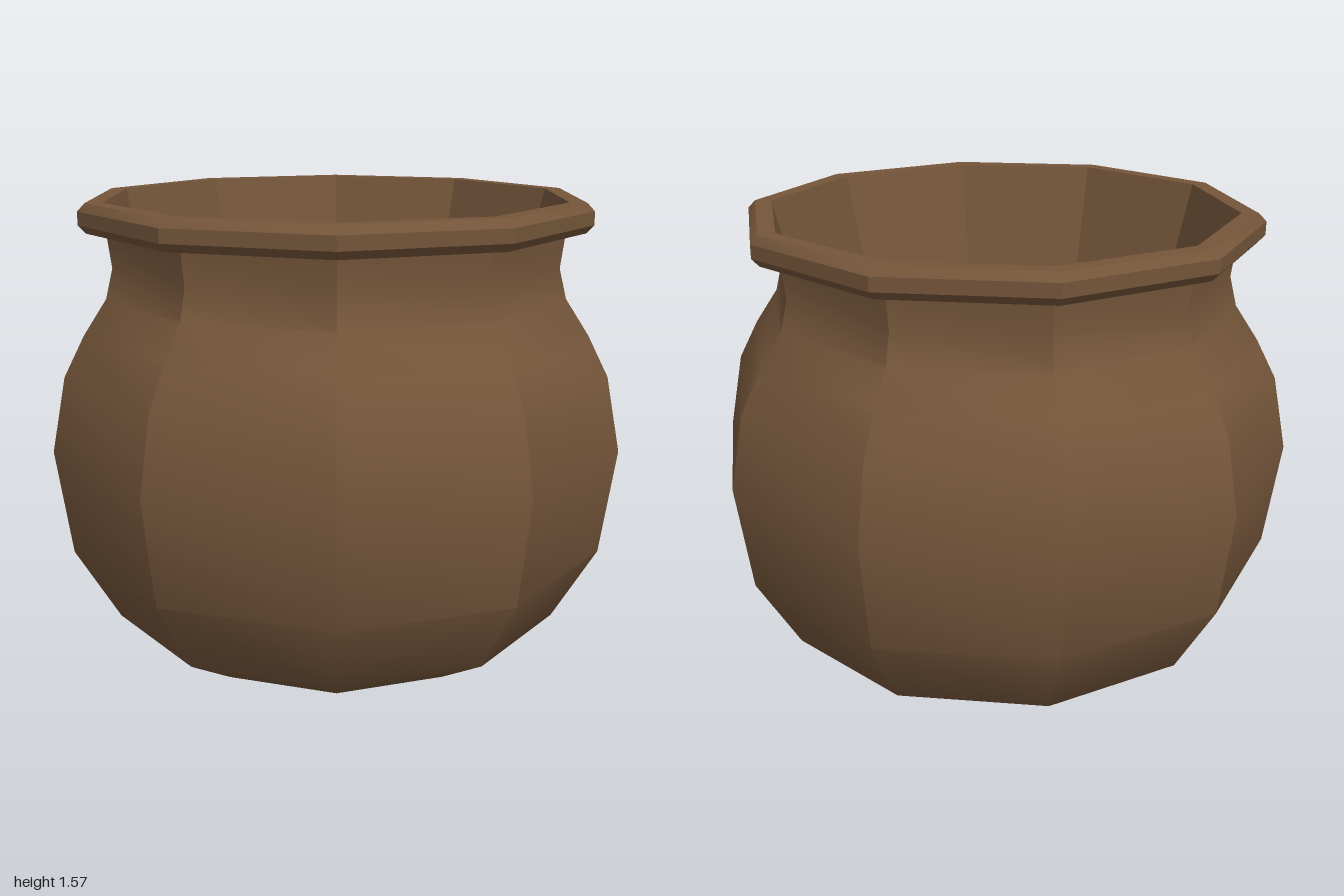
import * as THREE from 'three';
import { toCreasedNormals } from 'three/addons/utils/BufferGeometryUtils.js';

const SIDES = 10;

// Ten-sided turned part: crisp vertical edges, soft shading along the profile
function turned(name, profile, material) {
  const points = profile.map(([r, y]) => new THREE.Vector2(r, y));
  const lathe = new THREE.LatheGeometry(points, SIDES, Math.PI / 2);
  const mesh = new THREE.Mesh(toCreasedNormals(lathe, 0.56), material);
  mesh.name = name;
  return mesh;
}

export function createModel() {
  const clay = new THREE.MeshStandardMaterial({ color: 0x74553a });
  const pot = new THREE.Group();
  pot.name = 'pot';

  // Base, round belly and narrow neck
  pot.add(turned('body', [
    [0, 0], [0.61, 0], [0.8, 0.115], [0.95, 0.375], [1, 0.74],
    [0.95, 0.995], [0.88, 1.13], [0.8, 1.25], [0.775, 1.35], [0.79, 1.47],
  ], clay));

  // Bevelled lip around the mouth
  pot.add(turned('rim', [
    [0.78, 1.468], [0.855, 1.468], [0.88, 1.495], [0.88, 1.54], [0.855, 1.566], [0.797, 1.566],
  ], clay));

  // Tapered inner wall and floor
  pot.add(turned('interior', [[0.797, 1.566], [0.545, 0.6], [0, 0.6]], clay));

  return pot;
}
